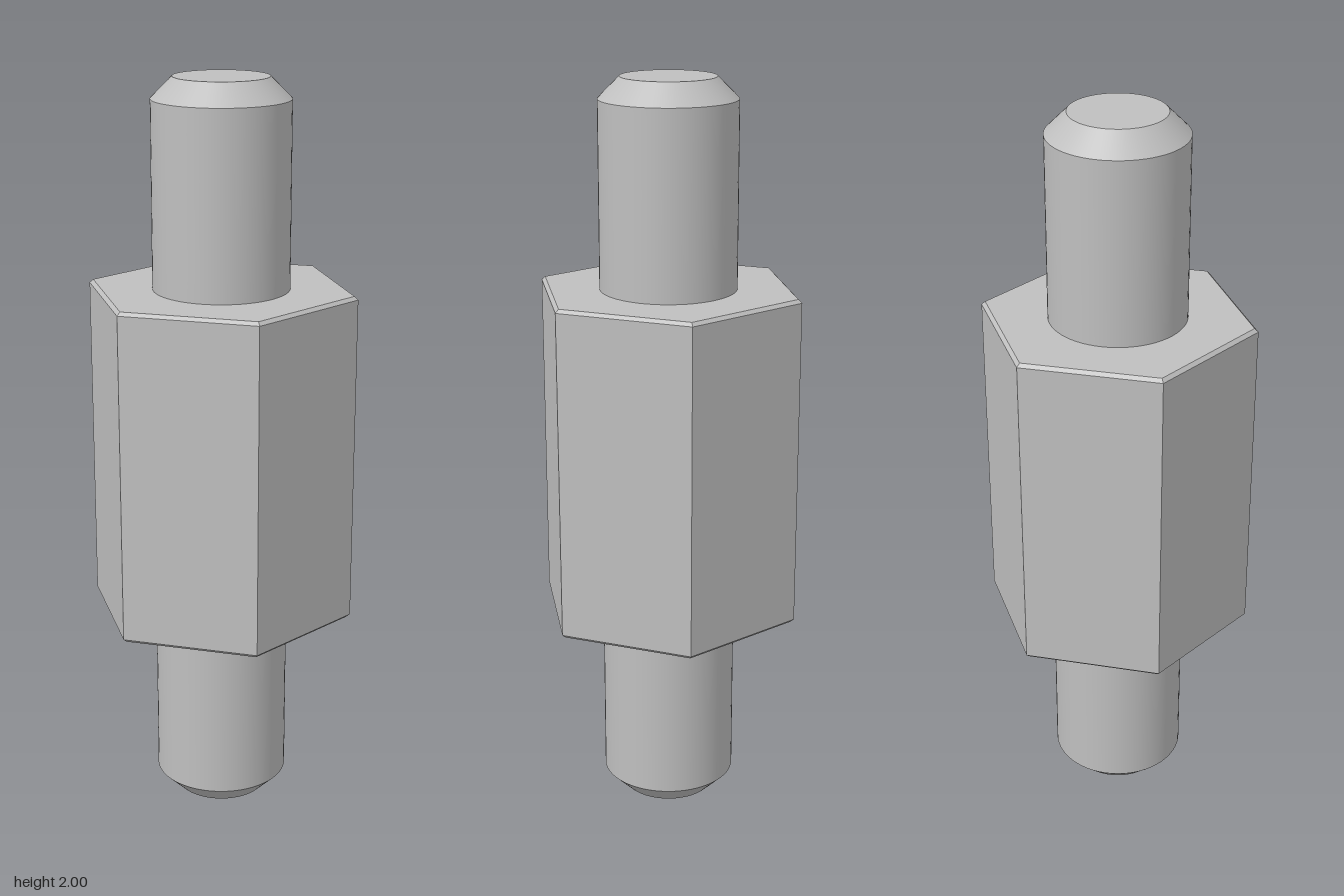
import * as THREE from 'three';
import { mergeGeometries } from 'three/addons/utils/BufferGeometryUtils.js';

const HEX_R = 0.365, HEX_BOTTOM = 0.55, HEX_TOP = 1.453, HEX_BEVEL = 0.009;
const PIN_R = 0.181, TIP_R = 0.125, CHAMFER = 0.056, HEIGHT = 2;

// Open ring from y0 (radius r0) up to y1 (radius r1)
function ring(r0, r1, y0, y1, sides, start = 0) {
  return new THREE.CylinderGeometry(r1, r0, y1 - y0, sides, 1, true, start)
    .translate(0, (y0 + y1) / 2, 0);
}

// Flat disc facing up (dir 1) or down (dir -1)
function disc(r, y, dir, sides, start = 0) {
  return new THREE.CircleGeometry(r, sides, start).rotateX(-dir * Math.PI / 2).translate(0, y, 0);
}

export function createModel() {
  const group = new THREE.Group();
  const steel = new THREE.MeshStandardMaterial({ color: 0xbfbfbf });
  const add = (name, parts) => {
    const mesh = new THREE.Mesh(mergeGeometries(parts), steel);
    mesh.name = name;
    group.add(mesh);
  };

  // Hexagonal body with corners on the x axis and thin edge bevels
  const inner = HEX_R - HEX_BEVEL * 1.15, turn = Math.PI / 6;
  add('hexBody', [
    ring(inner, HEX_R, HEX_BOTTOM, HEX_BOTTOM + HEX_BEVEL, 6, turn),
    ring(HEX_R, HEX_R, HEX_BOTTOM + HEX_BEVEL, HEX_TOP - HEX_BEVEL, 6, turn),
    ring(HEX_R, inner, HEX_TOP - HEX_BEVEL, HEX_TOP, 6, turn),
    disc(inner, HEX_TOP, 1, 6),
    disc(inner, HEX_BOTTOM, -1, 6),
  ].map((part) => {
    // Flat normals on every facet
    const flat = part.toNonIndexed();
    flat.computeVertexNormals();
    return flat;
  }));

  // Round studs with chamfered tips
  add('upperStud', [
    ring(PIN_R, PIN_R, HEX_TOP, HEIGHT - CHAMFER, 64),
    ring(PIN_R, TIP_R, HEIGHT - CHAMFER, HEIGHT, 64),
    disc(TIP_R, HEIGHT, 1, 64),
  ]);
  add('lowerStud', [
    ring(PIN_R, PIN_R, CHAMFER, HEX_BOTTOM, 64),
    ring(TIP_R, PIN_R, 0, CHAMFER, 64),
    disc(TIP_R, 0, -1, 64),
  ]);

  return group;
}
